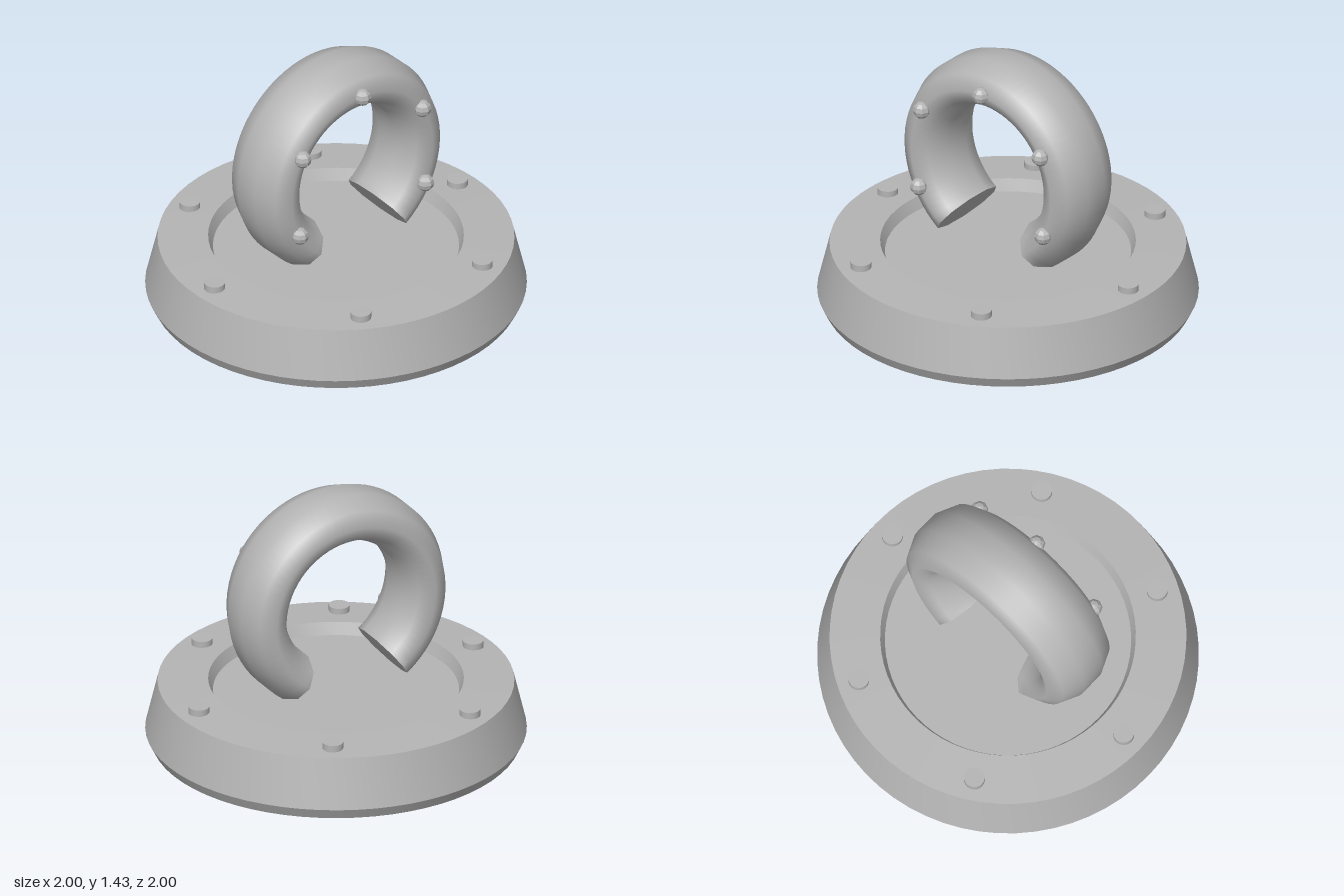
import * as THREE from 'three';
import { toCreasedNormals } from 'three/addons/utils/BufferGeometryUtils.js';

const RING_Y = 0.825, RING_R = 0.475;   // centre height and centreline radius
const TUBE_R = 0.137, TUBE_Z = 0.223;   // half sizes of the oval tube section
const SIDES = 10, STEPS = 56, GAP = THREE.MathUtils.degToRad(36);
const START = -Math.PI / 2 + GAP, ARC = 2 * (Math.PI - GAP);

// Open ring with a ten-sided oval section, swept around z
function ringGeometry() {
  const pos = [], index = [];
  for (let i = 0; i <= STEPS; i++) {
    const a = START + (ARC * i) / STEPS;
    for (let j = 0; j < SIDES; j++) {
      const v = Math.PI / 2 + (j / SIDES) * Math.PI * 2;
      const r = RING_R + TUBE_R * Math.cos(v);
      pos.push(r * Math.cos(a), r * Math.sin(a), TUBE_Z * Math.sin(v));
      if (i === STEPS) continue;
      const k = (j + 1) % SIDES, p = i * SIDES, q = p + SIDES;
      index.push(p + j, q + j, q + k, p + j, q + k, p + k);
    }
  }
  const g = new THREE.BufferGeometry();
  g.setAttribute('position', new THREE.Float32BufferAttribute(pos, 3));
  g.setIndex(index);
  g.computeVertexNormals();
  return g;
}

// Flat oval closing one end of the ring
function capGeometry(angle, side) {
  return new THREE.CircleGeometry(1, SIDES, Math.PI / 2)
    .scale(TUBE_R, TUBE_Z, 1)
    .rotateX(side * Math.PI / 2)
    .translate(RING_R, 0, 0)
    .rotateZ(angle);
}

export function createModel() {
  const model = new THREE.Group();
  model.name = 'ringOnBase';
  const metal = new THREE.MeshStandardMaterial({ color: 0xb4b4b4 });
  metal.name = 'grey metal';
  const studMetal = metal.clone();
  studMetal.flatShading = true;

  const add = (parent, name, geometry, x = 0, y = 0, z = 0, material = metal) => {
    const mesh = new THREE.Mesh(geometry, material);
    mesh.name = name;
    mesh.position.set(x, y, z);
    parent.add(mesh);
    return mesh;
  };

  // Round base with a bevelled foot, tapered wall and a recessed top
  const profile = [
    [0, 0], [0.97, 0], [1, 0.06], [0.935, 0.333],
    [0.67, 0.345], [0.645, 0.28], [0, 0.28],
  ].map(([r, y]) => new THREE.Vector2(r, y));
  add(model, 'base', toCreasedNormals(new THREE.LatheGeometry(profile, 64), 0.4));

  // Six bolts around the rim
  const bolt = toCreasedNormals(new THREE.CylinderGeometry(0.055, 0.055, 0.05, 20), 0.6);
  for (let i = 0; i < 6; i++) {
    const a = (i * Math.PI) / 3;
    add(model, 'rimBolt', bolt, 0.82 * Math.cos(a), 0.348, 0.82 * Math.sin(a));
  }

  // Open ring standing above the recess
  const ring = new THREE.Group();
  ring.name = 'ring';
  ring.position.y = RING_Y;
  model.add(ring);
  add(ring, 'ringTube', ringGeometry());
  add(ring, 'ringEndLeft', capGeometry(START, 1));
  add(ring, 'ringEndRight', capGeometry(START + ARC, -1));

  // Five faceted studs along the front of the ring
  const stud = new THREE.SphereGeometry(0.047, 8, 6);
  for (let i = -2; i <= 2; i++) {
    const a = Math.PI / 2 + THREE.MathUtils.degToRad(58.5 * i);
    add(ring, 'ringStud', stud, RING_R * Math.cos(a), RING_R * Math.sin(a), 0.222, studMetal);
  }
  return model;
}
